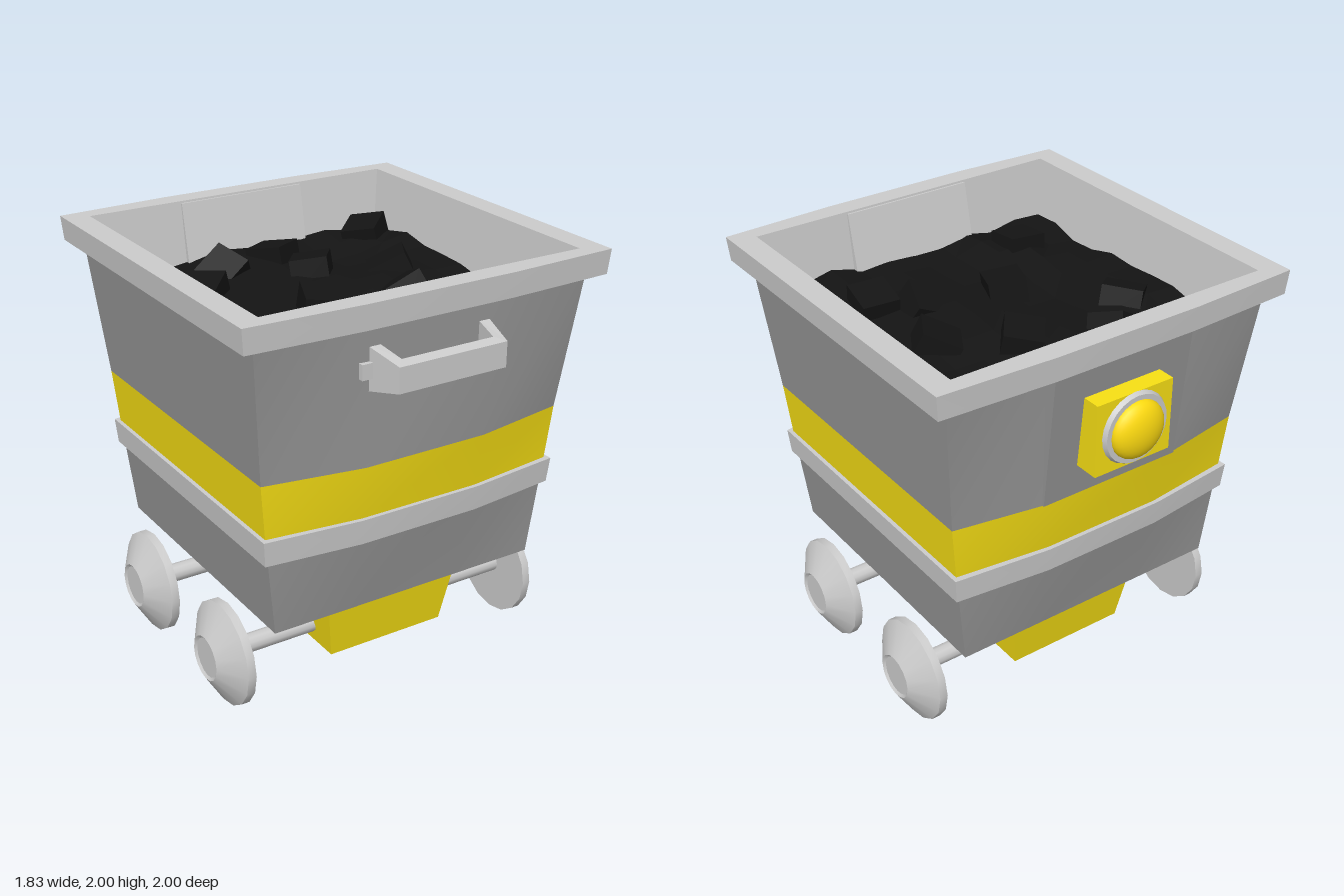
import * as THREE from 'three';
import { toCreasedNormals } from 'three/addons/utils/BufferGeometryUtils.js';

const MID = 0.025; // the tub's centre in z

const mat = (color, flatShading = false) =>
  new THREE.MeshStandardMaterial({ color, flatShading });

// Joins rings [y, halfX, halfZ, bow]; bow pushes the middle of front and back outwards.
function loft(rings) {
  const pos = [];
  const loops = rings.map(([y, hx, hz, bow = 0]) => {
    const m = hx * 0.4;
    return [
      [-hx, hz], [-m, hz + bow], [m, hz + bow], [hx, hz],
      [hx, -hz], [m, -hz - bow], [-m, -hz - bow], [-hx, -hz],
    ].map(([x, z]) => [x, y, z + MID]);
  });
  for (let r = 0; r < loops.length - 1; r++) {
    for (let i = 0; i < 8; i++) {
      const j = (i + 1) % 8, a = loops[r], b = loops[r + 1];
      pos.push(...a[i], ...a[j], ...b[j], ...a[i], ...b[j], ...b[i]);
    }
  }
  const g = new THREE.BufferGeometry();
  g.setAttribute('position', new THREE.Float32BufferAttribute(pos, 3));
  return toCreasedNormals(g, 0.3);
}

// Slab whose z range differs between its bottom and its top.
function wedge(width, y0, y1, [b0, b1], [t0, t1]) {
  const g = new THREE.BoxGeometry(width, y1 - y0, 1);
  const p = g.attributes.position;
  for (let i = 0; i < p.count; i++) {
    const [lo, hi] = p.getY(i) > 0 ? [t0, t1] : [b0, b1];
    p.setZ(i, p.getZ(i) > 0 ? hi : lo);
  }
  g.translate(0, (y0 + y1) / 2, 0);
  g.computeVertexNormals();
  return g;
}

export function createModel() {
  const group = new THREE.Group();
  const grey = mat(0xcccccc), dark = mat(0x969696), yellow = mat(0xf8e014);
  const lampYellow = mat(0xffdc10), black = mat(0x141414, true);

  const add = (name, geometry, material, x = 0, y = 0, z = 0) => {
    const mesh = new THREE.Mesh(geometry, material);
    mesh.name = name;
    mesh.position.set(x, y, z);
    group.add(mesh);
    return mesh;
  };

  // Tub, flaring upwards
  add('lowerTub', loft([[0.49, 0, 0], [0.49, 0.69, 0.685], [0.98, 0.745, 0.71, 0.055]]), dark);
  add('yellowBand', loft([[0.98, 0.745, 0.71, 0.055], [1.24, 0.77, 0.725, 0.08]]), yellow);
  add('upperTub', loft([[1.24, 0.77, 0.725, 0.08], [1.9, 0.835, 0.8, 0.01]]), dark);
  add('middleRail', loft([
    [0.86, 0.7, 0.67, 0.04], [0.86, 0.755, 0.725, 0.05],
    [0.98, 0.765, 0.735, 0.05], [0.98, 0.72, 0.69, 0.05],
  ]), grey);
  add('rimAndInnerWalls', loft([
    [1.885, 0.8, 0.77], [1.885, 0.905, 0.855, 0.025], [2, 0.915, 0.8625, 0.025],
    [2, 0.8, 0.785], [1.6, 0.745, 0.73],
  ]), grey);

  // Panels in the middle of the end walls
  add('backPanel', wedge(0.72, 1.24, 1.9, [-0.78, -0.7], [-0.845, -0.77]), dark);
  add('innerFrontPanel', wedge(0.66, 1.62, 1.99, [0.72, 0.79], [0.8, 0.83]), grey);
  add('innerBackPanel', wedge(0.66, 1.62, 1.99, [-0.74, -0.68], [-0.78, -0.75]), grey);

  // Coal bed with loose lumps
  const bed = new THREE.PlaneGeometry(1.52, 1.49, 10, 10).rotateX(-Math.PI / 2);
  const p = bed.attributes.position;
  for (let i = 0; i < p.count; i++) {
    const x = p.getX(i), z = p.getZ(i);
    p.setY(i, 0.025 * Math.sin(7 * x + 2 * z) * Math.cos(6 * z - x) + 0.015 * Math.sin(19 * x * z + 3 * x));
  }
  add('coalBed', bed, black, 0, 1.72, MID);
  const lumps = [
    [-0.28, -0.44], [0.03, -0.5], [0.63, -0.6], [-0.5, -0.22], [0.1, -0.26],
    [0.43, -0.07], [-0.13, 0.18], [0.28, 0.25], [0.45, 0.4], [-0.45, 0.52],
  ];
  lumps.forEach(([x, z], i) => {
    const lump = add('coalLump', new THREE.BoxGeometry(0.19, 0.17, 0.18), black, x, 1.71, z);
    lump.rotation.set(0.4 * Math.sin(i * 2.3 + 1), i * 1.7 + 0.4, 0.45 * Math.cos(i * 1.9));
  });

  // Undercarriage block
  add('undercarriage', loft([[0.16, 0, 0], [0.16, 0.305, 0.53], [0.49, 0.355, 0.585]]), yellow);

  // Wheels with dished hubs, on two axles
  const profile = [[0, 0], [0.25, 0], [0.25, 0.04], [0.108, 0.125], [0.095, 0.115], [0, 0.115]]
    .map(([r, h]) => new THREE.Vector2(r, h));
  const wheelGeo = toCreasedNormals(new THREE.LatheGeometry(profile, 16), 0.45);
  for (const z of [0.395, -0.35]) {
    add('axle', new THREE.CylinderGeometry(0.045, 0.045, 1.52, 12), grey, 0, 0.255, z)
      .rotation.z = Math.PI / 2;
    for (const s of [-1, 1]) {
      add('wheel', wheelGeo, grey, s * 0.75, 0.25, z).rotation.z = -s * Math.PI / 2;
    }
  }

  // Front handle: a U-shaped bar that gets lower towards its grip
  const u = new THREE.Shape([
    [-0.31, 0.8], [-0.27, 1], [0.27, 1], [0.31, 0.8],
    [0.255, 0.8], [0.23, 0.955], [-0.23, 0.955], [-0.255, 0.8],
  ].map(([x, z]) => new THREE.Vector2(x, -z)));
  const handle = new THREE.ExtrudeGeometry(u, { depth: 2, bevelEnabled: false });
  handle.translate(0, 0, -1).rotateX(-Math.PI / 2);
  const hp = handle.attributes.position;
  for (let i = 0; i < hp.count; i++) {
    const t = THREE.MathUtils.clamp((hp.getZ(i) - 0.84) / 0.16, 0, 1);
    hp.setY(i, hp.getY(i) * THREE.MathUtils.lerp(0.105, 0.058, t));
  }
  handle.computeVertexNormals();
  add('handle', handle, grey, 0, 1.685, 0);
  for (const s of [-1, 1]) {
    add('handleTab', new THREE.BoxGeometry(0.06, 0.07, 0.06), grey, s * 0.32, 1.685, 0.825);
  }

  // Back lamp
  add('lampBox', new THREE.BoxGeometry(0.4, 0.345, 0.14), yellow, 0, 1.57, -0.845);
  add('lampRing', new THREE.CylinderGeometry(0.16, 0.17, 0.02, 24), grey, 0, 1.575, -0.925)
    .rotation.x = -Math.PI / 2;
  const dome = new THREE.SphereGeometry(0.137, 24, 10, 0, Math.PI * 2, 0, Math.PI / 2);
  const lens = add('lampLens', dome, lampYellow, 0, 1.575, -0.933);
  lens.rotation.x = -Math.PI / 2;
  lens.scale.y = 0.49;

  return group;
}
